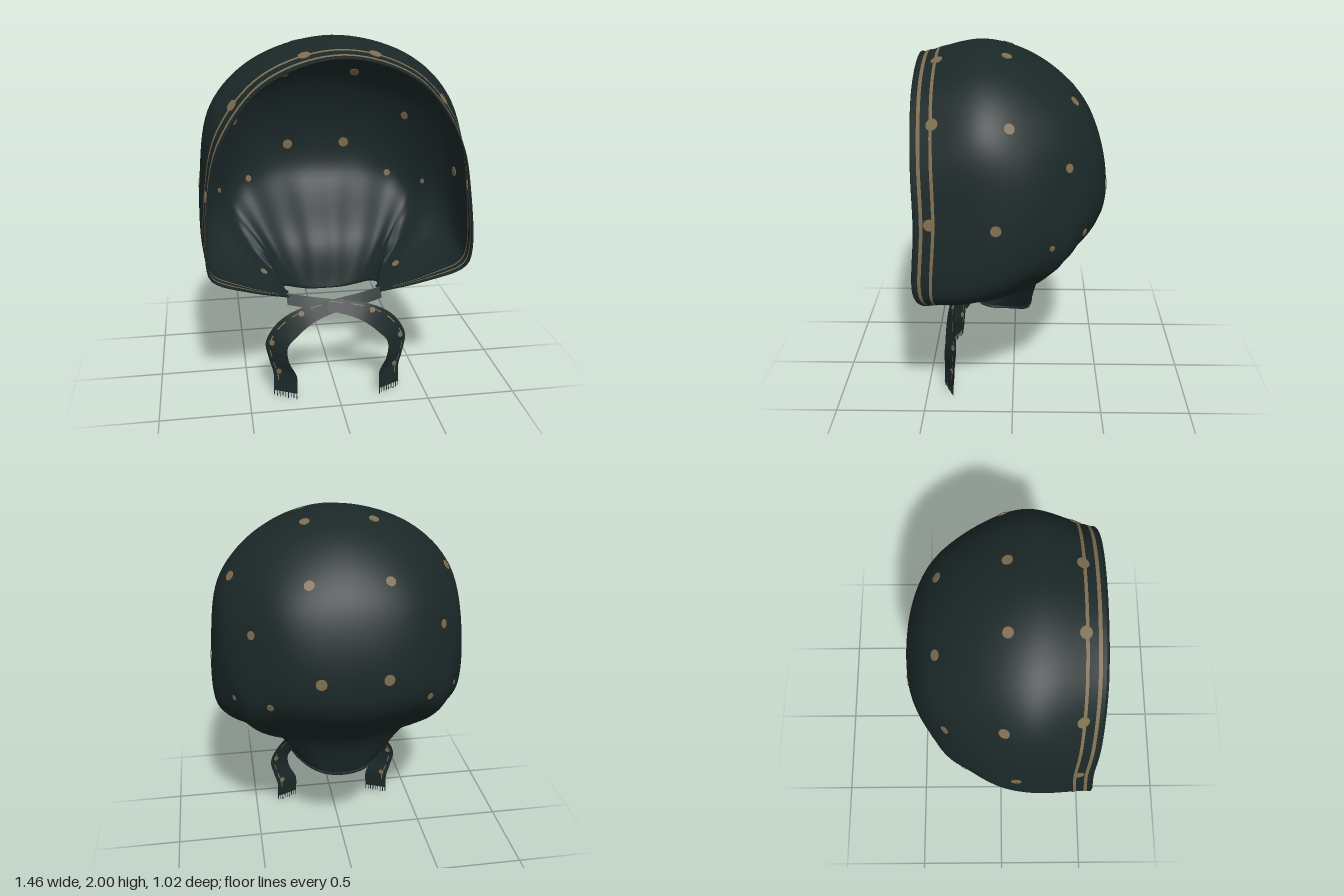
import * as THREE from 'three';

const cloth = new THREE.MeshStandardMaterial({ color: 0x1b2828, side: THREE.DoubleSide });
cloth.name = 'dark teal cloth';
const gold = new THREE.MeshStandardMaterial({ color: 0x7e6d50, side: THREE.DoubleSide });
gold.name = 'dull gold print';

const V = (x, y, z) => new THREE.Vector3(x, y, z);
const spline = (pts) => new THREE.CatmullRomCurve3(pts, false, 'centripetal');

// Half ribs of the hood, from beside the tie corner up to the middle (x = 0), rim first, nape hem last
const ribs = [
  [[.47, .675, .385], [.67, .785, .475], [.7, .86, .497], [.685, 1.2, .48], [.61, 1.51, .49], [.38, 1.81, .5], [0, 1.93, .5]],
  [[.48, .675, .29], [.675, .795, .22], [.718, .88, .19], [.718, 1.27, .15], [.645, 1.65, .15], [.41, 1.89, .15], [0, 2, .15]],
  [[.43, .675, .18], [.635, .82, .05], [.695, .94, 0], [.702, 1.24, -.02], [.625, 1.57, -.06], [.39, 1.79, -.14], [0, 1.88, -.18]],
  [[.39, .675, .1], [.55, .83, -.06], [.615, .95, -.14], [.64, 1.16, -.17], [.565, 1.4, -.24], [.36, 1.55, -.38], [0, 1.6, -.43]],
  [[.345, .65, .06], [.46, .77, -.09], [.52, .88, -.2], [.53, .98, -.28], [.44, 1.07, -.37], [.24, 1.1, -.47], [0, 1.1, -.5]],
  [[.31, .63, .06], [.345, .68, .01], [.36, .72, -.05], [.35, .735, -.09], [.29, .735, -.135], [.15, .72, -.167], [0, .71, -.18]],
  [[.285, .56, .12], [.282, .556, .07], [.265, .545, .025], [.24, .53, -.01], [.185, .497, -.055], [.1, .468, -.088], [0, .46, -.1]],
].map((rib, i) => {
  const half = [V(.26, .58 - .002 * i, .27 - .015 * i), ...rib.map((p) => V(...p))];
  const other = half.slice(0, -1).reverse().map((p) => V(-p.x, p.y, p.z));
  return spline([...half, ...other]);
});

// Point on the hood: s runs rim to nape, t runs left corner to right corner
function hoodPoint(s, t) {
  const p = spline(ribs.map((r) => r.getPoint(t))).getPoint(s);
  const gather = .004 * Math.sin(Math.PI * THREE.MathUtils.clamp((s - .6) / .4, 0, 1)) * Math.sin(Math.PI * t);
  p.z += gather * Math.cos(t * Math.PI * 28);
  return p;
}

function hoodNormal(s, t) {
  const e = .004, c = (v) => THREE.MathUtils.clamp(v, 0, 1);
  const ds = hoodPoint(c(s + e), t).sub(hoodPoint(c(s - e), t));
  const dt = hoodPoint(s, c(t + e)).sub(hoodPoint(s, c(t - e)));
  return ds.cross(dt).normalize();
}

// Smooth sheet from a point rule over the unit square
function sheet(fn, nu, nv) {
  const pos = [], idx = [];
  for (let i = 0; i <= nu; i++) {
    for (let j = 0; j <= nv; j++) {
      pos.push(...fn(i / nu, j / nv).toArray());
      if (i < nu && j < nv) {
        const a = i * (nv + 1) + j, b = a + nv + 1;
        idx.push(a, b, a + 1, b, b + 1, a + 1);
      }
    }
  }
  const g = new THREE.BufferGeometry();
  g.setAttribute('position', new THREE.Float32BufferAttribute(pos, 3));
  g.setIndex(idx);
  g.computeVertexNormals();
  return g;
}

function add(parent, name, geometry, material) {
  const m = new THREE.Mesh(geometry, material);
  m.name = name;
  parent.add(m);
  return m;
}

// Thin round spot showing on both faces of the cloth
function addDot(parent, p, n, r) {
  const dot = add(parent, 'dot', new THREE.CylinderGeometry(r, r, .008, 14), gold);
  dot.position.copy(p);
  dot.quaternion.setFromUnitVectors(V(0, 1, 0), n);
}

function buildHood() {
  const hood = new THREE.Group();
  hood.name = 'hood';
  add(hood, 'hoodShell', sheet(hoodPoint, 72, 120), cloth);

  // Piped edges at the face opening and the neck
  for (const [name, s, r] of [['faceHem', 0, .006], ['neckHem', 1, .009]]) {
    const edge = spline(Array.from({ length: 57 }, (_, i) => hoodPoint(s, i / 56)));
    add(hood, name, new THREE.TubeGeometry(edge, 110, r, 6), cloth);
  }

  // Two printed stripes following the rim, outside and inside, keeping their width toward the corners
  for (const [s0, s1] of [[.013, .022], [.043, .051]]) {
    for (const off of [.003, -.003]) {
      const stripe = (u, v) => {
        const t = .02 + .96 * v;
        const spread = 1 + 1.5 * Math.max(0, 1 - Math.min(t, 1 - t) / .13);
        const s = (s0 + (s1 - s0) * u) * spread;
        return hoodPoint(s, t).addScaledVector(hoodNormal(s, t), off);
      };
      add(hood, 'rimStripe', sheet(stripe, 1, 130), gold);
    }
  }

  // Scattered dots, snapped to the nearest place on the left half and mirrored
  const samples = [];
  for (let i = 1; i < 80; i++) for (let j = 1; j <= 80; j++) {
    samples.push({ s: i / 80, t: j / 160, p: hoodPoint(i / 80, j / 160) });
  }
  const dots = [
    [.2, 1.97, .02], [.2, 1.72, -.33], [.59, 1.7, .01], [.51, 1.47, -.3, .024], [.18, 1.26, -.48, .03],
    [.44, 1.09, -.37, .02], [.72, 1.22, .07], [.19, 1.95, .39, .032], [.54, 1.7, .395, .032],
    [.69, 1.23, .39, .03], [.4, .64, .1, .022], [.6, 1.07, -.2, .015],
  ];
  for (const [x, y, z, r = .028] of dots) {
    const target = V(x, y, z);
    const near = samples.reduce((a, b) => (b.p.distanceToSquared(target) < a.p.distanceToSquared(target) ? b : a));
    const n = hoodNormal(near.s, near.t);
    addDot(hood, near.p, n, r);
    addDot(hood, V(-near.p.x, near.p.y, near.p.z), V(-n.x, n.y, n.z), r);
  }
  return hood;
}

// Ribbon that starts at the far corner, crosses in front and hangs on the side given by sign
function buildTie(sign) {
  const tie = new THREE.Group();
  tie.name = sign > 0 ? 'leftTie' : 'rightTie';
  const mid = spline([
    [-.27, .56, .25], [-.14, .548, .295], [.02, .53, .33], [.16, .497, .352], [.27, .425, .353],
    [.34, .325, .35], [.33, .23, .36], [.298, .14, .365], [.298, .035, .372],
  ].map(([x, y, z]) => V(sign * x, y, z + sign * .005)));
  const halfWidth = spline([
    [0, .028, -.018], [.004, .028, -.018], [.012, .03, -.018], [.028, .038, -.022], [.048, .035, -.03],
    [.058, .006, -.036], [.054, 0, -.035], [.063, 0, -.033], [.063, .001, -.03],
  ].map(([x, y, z]) => V(sign * x, y, z)));
  const at = (u, w) => mid.getPoint(u).addScaledVector(halfWidth.getPoint(u), w);
  const normal = (u) => mid.getTangent(u).cross(halfWidth.getPoint(u)).normalize();

  add(tie, 'ribbon', sheet((u, v) => at(u, 2 * v - 1), 60, 4), cloth);

  // Broken printed line near the outer edge, on both faces
  for (let k = 0; k < 8; k++) {
    for (const off of [.003, -.003]) {
      const u0 = .2 + k * .095;
      const dash = (u, v) => {
        const q = u0 + .055 * u;
        return at(q, .55 + .1 * v).addScaledVector(normal(q), off);
      };
      add(tie, 'ribbonStripe', sheet(dash, 5, 1), gold);
    }
  }
  for (const u of [.4, .62, .85]) addDot(tie, at(u, .45), normal(u), .016);

  // Frayed end
  for (let k = 0; k < 9; k++) {
    const thread = add(tie, 'fringeThread', new THREE.BoxGeometry(.004, .034, .004), cloth);
    thread.position.copy(at(1, -.96 + k * .24));
    thread.position.y = .017 + (k % 3) * .004;
  }
  return tie;
}

export function createModel() {
  const model = new THREE.Group();
  model.name = 'bonnet';
  model.add(buildHood(), buildTie(1), buildTie(-1));
  return model;
}
